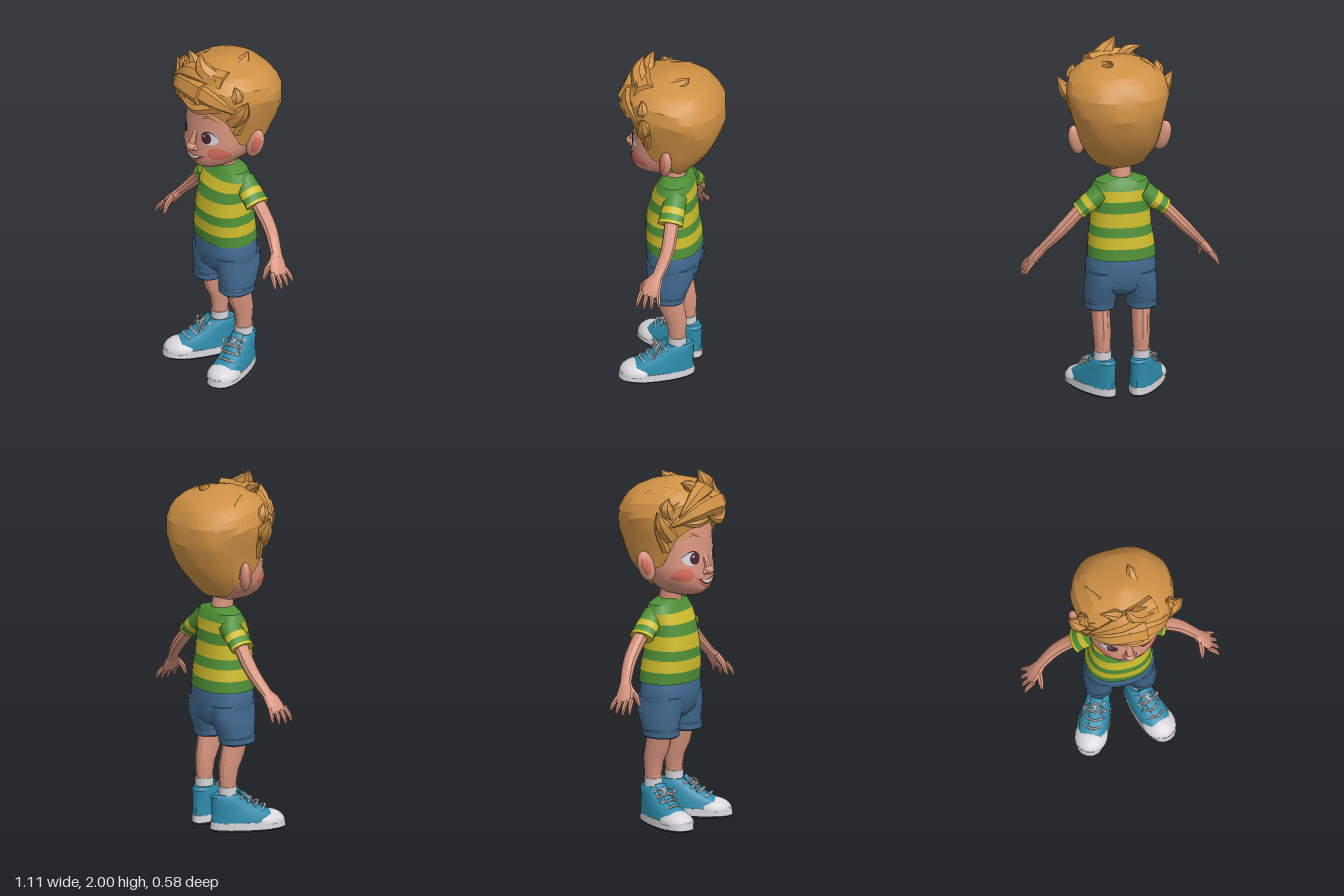
import * as THREE from 'three';
import { toCreasedNormals } from 'three/addons/utils/BufferGeometryUtils.js';

const mat = (name, color) => Object.assign(new THREE.MeshStandardMaterial({ color }), { name });
const SKIN = mat('skin', 0xd6937d), HAIR = mat('ginger hair', 0xcf9145), GREEN = mat('shirt green', 0x4f8f36),
  YELLOW = mat('shirt yellow', 0xcdbc2c), DENIM = mat('denim', 0x41698f), TEAL = mat('shoe teal', 0x2e8bab),
  WHITE = mat('off white', 0xd8d6d9), SOLE = mat('dark sole', 0x2c303a), BLUSH = mat('blush red', 0xd56c5c),
  DARK = mat('eye dark', 0x4b2630);

const N = 2.3; // superellipse exponent of every horizontal section
const pw = (v) => Math.sign(v) * Math.abs(v) ** (2 / N);
const lerp = THREE.MathUtils.lerp;

function add(parent, name, geo, material) {
  const m = new THREE.Mesh(geo, material);
  m.name = name;
  parent.add(m);
  return m;
}

// Joins rings of points (counter-clockwise about the direction of travel) into a surface.
function skin(rings, capStart = true, crease = 0.55) {
  const n = rings[0].length, pos = rings.flat().flatMap((p) => [p.x, p.y, p.z]), idx = [];
  for (let i = 0; i < rings.length - 1; i++) for (let j = 0; j < n; j++) {
    const k = (j + 1) % n, a = i * n + j, b = i * n + k, c = a + n, d = b + n;
    idx.push(a, b, d, a, d, c);
  }
  const cap = (ring, base, flip) => {
    const c = ring.reduce((s, p) => s.add(p), new THREE.Vector3()).divideScalar(n), ci = pos.length / 3;
    pos.push(c.x, c.y, c.z);
    for (let j = 0; j < n; j++) {
      const a = base + j, b = base + (j + 1) % n;
      idx.push(ci, flip ? b : a, flip ? a : b);
    }
  };
  if (capStart) cap(rings[0], 0, true);
  cap(rings.at(-1), (rings.length - 1) * n, false);
  const g = new THREE.BufferGeometry();
  g.setAttribute('position', new THREE.Float32BufferAttribute(pos, 3));
  g.setIndex(idx);
  return toCreasedNormals(g, crease);
}

// Section rows are [y, centre x, half width, front z, back z].
function rowAt(rows, y) {
  let i = 0;
  while (i < rows.length - 2 && y > rows[i + 1][0]) i++;
  const u = THREE.MathUtils.clamp((y - rows[i][0]) / (rows[i + 1][0] - rows[i][0]), 0, 1);
  return rows[i].map((v, k) => lerp(v, rows[i + 1][k], u));
}
function rowPoint([y, cx, rx, zf, zb], phi, taper = 0) {
  return new THREE.Vector3(cx + rx * pw(Math.sin(phi)) * (1 + taper * Math.cos(phi)), y,
    (zf + zb) / 2 + (zf - zb) / 2 * pw(Math.cos(phi)));
}
function loft(rows, sides = 20, taper = 0) {
  return skin(rows.map((r) => Array.from({ length: sides }, (_, j) => rowPoint(r, j / sides * Math.PI * 2, taper))));
}

// Tapered limb through stations [x, y, z, depth radius, other radius], mirrored by s.
function sweep(stations, s = 1, sides = 10) {
  const P = stations.map(([x, y, z]) => new THREE.Vector3(x * s, y, z)), ref = new THREE.Vector3(0, 0, 1);
  return skin(P.map((p, i) => {
    const d = P[Math.min(i + 1, P.length - 1)].clone().sub(P[Math.max(i - 1, 0)]).normalize();
    const u = ref.clone().addScaledVector(d, -ref.dot(d)).normalize(), v = d.clone().cross(u);
    const [, , , a, b = a] = stations[i];
    return Array.from({ length: sides }, (_, j) => {
      const t = j / sides * Math.PI * 2;
      return p.clone().addScaledVector(u, a * Math.cos(t)).addScaledVector(v, b * Math.sin(t));
    });
  }));
}
// Same, with the path rounded first.
function smoothSweep(st, s, sides, steps) {
  const c = new THREE.CatmullRomCurve3(st.map(([x, y, z]) => new THREE.Vector3(x, y, z)));
  return sweep(Array.from({ length: steps + 1 }, (_, k) => {
    const t = k / steps, f = t * (st.length - 1), i = Math.min(Math.floor(f), st.length - 2), p = c.getPoint(t);
    const r = (n) => lerp(st[i][n] ?? st[i][3], st[i + 1][n] ?? st[i + 1][3], f - i);
    return [p.x, p.y, p.z, r(3), r(4)];
  }), s, sides);
}

const HEAD = [[1.285, 0.01, 0.04, 0.14, 0], [1.3, 0.01, 0.08, 0.18, -0.05], [1.33, 0.01, 0.125, 0.213, -0.085],
  [1.37, 0.01, 0.165, 0.223, -0.125], [1.42, 0.01, 0.195, 0.222, -0.17], [1.48, 0.012, 0.206, 0.21, -0.2],
  [1.64, 0.015, 0.206, 0.203, -0.22], [1.72, 0.015, 0.2, 0.185, -0.2], [1.82, 0.015, 0.13, 0.12, -0.15]];

// Thin painted plate following the face, between two curves over u = -1..1.
function plate(cx, w, bottom, top, lift) {
  const g = new THREE.PlaneGeometry(2, 1, 16, 6), p = g.attributes.position;
  for (let i = 0; i < p.count; i++) {
    const u = p.getX(i), x = cx + u * w, y = lerp(bottom(u), top(u), p.getY(i) + 0.5);
    const [, hx, rx, zf, zb] = rowAt(HEAD, y), k = Math.min(1, Math.abs((x - hx) / rx));
    p.setXYZ(i, x, y, (zf + zb) / 2 + (zf - zb) / 2 * (1 - k ** N) ** (1 / N) + lift);
  }
  g.computeVertexNormals();
  return g;
}
function oval(cx, cy, w, h, lift) {
  const c = (u) => h * Math.sqrt(Math.max(0, 1 - u * u));
  return plate(cx, w, (u) => cy - c(u), (u) => cy + c(u), lift);
}
function ball(parent, name, material, [x, y, z], [a, b, c]) {
  const m = add(parent, name, new THREE.SphereGeometry(1, 14, 10), material);
  m.position.set(x, y, z);
  m.scale.set(a, b, c);
}

function buildHead() {
  const g = new THREE.Group();
  g.name = 'head';
  add(g, 'face', loft(HEAD, 40), SKIN);
  add(g, 'neck', sweep([[0, 1.2, -0.02, 0.065, 0.06], [0, 1.34, 0, 0.06, 0.055]], 1, 14), SKIN);
  ball(g, 'nose', SKIN, [0.01, 1.438, 0.227], [0.03, 0.026, 0.034]);
  add(g, 'noseBridge', sweep([[0.01, 1.53, 0.2, 0.01, 0.015], [0.01, 1.44, 0.23, 0.02, 0.025]]), SKIN);
  // smiling mouth
  add(g, 'lips', plate(0.01, 0.1, (u) => 1.34 + 0.065 * u * u, (u) => 1.388 + 0.02 * u * u, 0.004), BLUSH);
  add(g, 'mouthLine', plate(0.01, 0.082, (u) => 1.357 + 0.045 * u * u, (u) => 1.385 + 0.018 * u * u, 0.006), DARK);
  add(g, 'teeth', plate(0.01, 0.068, (u) => 1.365 + 0.034 * u * u, (u) => 1.383 + 0.017 * u * u, 0.008), WHITE);
  for (const s of [-1, 1]) {
    const X = (x) => 0.01 + s * x;
    ball(g, 'nostril', SKIN, [X(0.024), 1.428, 0.218], [0.016, 0.014, 0.018]);
    add(g, 'cheek', oval(X(0.145), 1.425, 0.042, 0.038, 0.003), BLUSH);
    add(g, 'eyeWhite', oval(X(0.108), 1.517, 0.048, 0.04, 0.004), WHITE);
    add(g, 'iris', oval(X(0.093), 1.515, 0.029, 0.034, 0.007), DARK);
    add(g, 'glint', oval(X(0.093) - 0.01, 1.528, 0.006, 0.007, 0.009), WHITE);
    add(g, 'upperLid', plate(X(0.108), 0.05, (u) => 1.553 - 0.03 * u * u, (u) => 1.56 - 0.034 * u * u, 0.008), DARK);
    add(g, 'eyebrow', plate(X(0.115), 0.05, (u) => 1.642 - 0.02 * u * u - 0.008 * u * s,
      (u) => 1.658 - 0.03 * u * u - 0.008 * u * s, 0.008), HAIR);
    const ear = new THREE.Group();
    ear.name = 'ear';
    ball(ear, 'earShell', SKIN, [0, 0, 0], [0.048, 0.09, 0.032]);
    ball(ear, 'earHollow', BLUSH, [s * 0.008, 0.006, 0.016], [0.028, 0.058, 0.022]);
    ear.position.set(X(0.24), 1.475, -0.025);
    ear.rotation.set(0, s * 0.6, -s * 0.32);
    g.add(ear);
  }
  return g;
}

function buildHair() {
  const g = new THREE.Group();
  g.name = 'hair';
  const rows = [[1.32, 0.01, 0.13, 0.12, -0.1], [1.38, 0.01, 0.177, 0.17, -0.155], [1.45, 0.012, 0.214, 0.2, -0.212],
    [1.55, 0.016, 0.236, 0.22, -0.27], [1.66, 0.02, 0.266, 0.222, -0.3], [1.75, 0.022, 0.286, 0.23, -0.294],
    [1.83, 0.024, 0.262, 0.235, -0.258], [1.89, 0.025, 0.19, 0.19, -0.19], [1.935, 0.025, 0.03, 0.03, -0.02]];
  // hairline height by angle from the front, in degrees
  const line = [[0, 1.7], [30, 1.69], [48, 1.64], [62, 1.55], [74, 1.48], [92, 1.45], [118, 1.345], [180, 1.325]];
  const sides = 44, rings = [];
  for (let i = -1; i <= 14; i++) {
    rings.push(Array.from({ length: sides }, (_, j) => {
      const phi = j / sides * Math.PI * 2, deg = 180 - Math.abs(180 - phi * 180 / Math.PI);
      const y = lerp(rowAt(line, deg)[1], 1.935, Math.sin(Math.max(i, 0) / 14 * Math.PI / 2));
      const p = rowPoint(rowAt(rows, y), phi), k = i < 0 ? 0.86 : 1 + 0.01 * Math.sin(7 * phi + 22 * y);
      return p.set(p.x * k, p.y, p.z * k);
    }));
  }
  add(g, 'hairCap', skin(rings, false, 0.3), HAIR);
  // each lock tapers from root through bend to a pointed tip
  const lock = (root, bend, tip, r) =>
    add(g, 'lock', smoothSweep([[...root, r], [...bend, r * 0.8], [...tip, 0.002]], 1, 7, 8), HAIR);
  // forelock rolls sweeping to both sides
  lock([0.1, 1.79, 0.2], [-0.09, 1.785, 0.205], [-0.25, 1.71, 0.13], 0.083);
  lock([0, 1.79, 0.2], [0.16, 1.78, 0.18], [0.29, 1.7, 0.09], 0.08);
  lock([0.16, 1.86, 0.11], [-0.04, 1.87, 0.19], [-0.22, 1.77, 0.18], 0.068);
  // fringe curls
  lock([0.19, 1.75, 0.18], [0.07, 1.715, 0.25], [-0.07, 1.76, 0.27], 0.042);
  lock([0, 1.76, 0.23], [-0.1, 1.725, 0.22], [-0.2, 1.73, 0.17], 0.04);
  // quiff and crown tufts
  lock([0.12, 1.86, 0.14], [0.04, 1.93, 0.18], [0, 2, 0.165], 0.055);
  lock([-0.03, 1.87, 0.15], [-0.07, 1.92, 0.15], [-0.14, 1.945, 0.14], 0.042);
  lock([0.1, 1.88, -0.02], [0.08, 1.91, -0.08], [0.07, 1.945, -0.115], 0.04);
  // tufts standing out on both sides
  for (const s of [-1, 1]) {
    const X = (x) => 0.015 + s * x;
    lock([X(0.2), 1.65, 0.1], [X(0.275), 1.73, 0.09], [X(0.322), 1.81, 0.09], 0.052);
    lock([X(0.19), 1.76, 0.1], [X(0.235), 1.82, 0.1], [X(0.23), 1.87, 0.11], 0.05);
    lock([X(0.205), 1.57, 0.08], [X(0.245), 1.64, 0.07], [X(0.285), 1.7, 0.05], 0.03);
    lock([X(0.13), 1.865, 0.04], [X(0.18), 1.85, -0.05], [X(0.2), 1.82, -0.14], 0.042);
  }
  return g;
}

function buildShirt() {
  const g = new THREE.Group();
  g.name = 'shirt';
  const rows = [[0.8, -0.004, 0.19, 0.138, -0.166], [0.865, -0.003, 0.185, 0.143, -0.16], [0.93, 0, 0.178, 0.143, -0.152],
    [0.985, 0, 0.17, 0.14, -0.143], [1.065, 0, 0.162, 0.128, -0.137], [1.13, 0, 0.163, 0.108, -0.132],
    [1.19, 0, 0.168, 0.08, -0.122], [1.235, 0, 0.145, 0.054, -0.105], [1.258, 0, 0.075, 0.045, -0.08]];
  for (let i = 0; i < 7; i++)
    add(g, 'shirtStripe', loft(rows.slice(i, i === 6 ? 9 : i + 2), 24), i % 2 ? YELLOW : GREEN);
  // short sleeves, striped along their length
  const cuts = [0, 0.45, 0.68, 0.9, 1];
  const at = (t) => [lerp(0.11, 0.24, t), lerp(1.172, 1.07, t), -0.05, lerp(0.062, 0.072, t), lerp(0.062, 0.046, t)];
  for (const s of [-1, 1]) for (let i = 0; i < 4; i++)
    add(g, 'sleeveStripe', sweep([at(cuts[i]), at(cuts[i + 1])], s, 14), i % 2 ? YELLOW : GREEN);
  return g;
}

function buildArm(s) {
  const g = new THREE.Group();
  g.name = s > 0 ? 'leftArm' : 'rightArm';
  add(g, 'arm', smoothSweep([[0.2, 1.11, -0.055, 0.043, 0.038], [0.34, 0.962, -0.06, 0.038, 0.035],
    [0.45, 0.84, -0.025, 0.032, 0.023]], s, 10, 8), SKIN);
  add(g, 'palm', sweep([[0.435, 0.855, -0.03, 0.033, 0.024], [0.46, 0.825, -0.015, 0.048, 0.025],
    [0.49, 0.785, -0.006, 0.054, 0.022], [0.508, 0.763, -0.003, 0.048, 0.014]], s), SKIN);
  [0.8, 0.95, 1, 0.9].forEach((len, i) => {
    const z = -0.047 + i * 0.03;
    add(g, 'finger', sweep([[0.492, 0.785, z, 0.015], [0.492 + 0.04 * len, 0.785 - 0.045 * len, z * 1.25, 0.013],
      [0.492 + 0.056 * len, 0.785 - 0.082 * len, z * 1.4, 0.007]], s, 7), SKIN);
  });
  add(g, 'thumb', sweep([[0.452, 0.835, 0.01, 0.018], [0.452, 0.79, 0.05, 0.017], [0.45, 0.74, 0.07, 0.009]], s, 7), SKIN);
  return g;
}

function buildShorts() {
  const g = new THREE.Group();
  g.name = 'shorts';
  add(g, 'seat', loft([[0.59, 0, 0.08, 0.07, -0.11], [0.63, 0, 0.17, 0.11, -0.145], [0.7, 0, 0.196, 0.13, -0.158],
    [0.76, 0, 0.194, 0.137, -0.158], [0.82, 0, 0.178, 0.125, -0.15]], 24), DENIM);
  for (const s of [-1, 1]) {
    add(g, 'shortLeg', loft([[0.505, s * 0.117, 0.082, 0.096, -0.096], [0.56, s * 0.113, 0.09, 0.1, -0.115],
      [0.65, s * 0.105, 0.094, 0.115, -0.15], [0.72, s * 0.1, 0.09, 0.12, -0.15]], 18), DENIM);
    add(g, 'cuff', loft([[0.495, s * 0.118, 0.08, 0.096, -0.094], [0.503, s * 0.118, 0.087, 0.103, -0.101],
      [0.535, s * 0.117, 0.089, 0.104, -0.106], [0.543, s * 0.116, 0.084, 0.098, -0.1]], 18), DENIM);
  }
  return g;
}

function buildLeg(s) {
  const g = new THREE.Group();
  g.name = s > 0 ? 'leftLeg' : 'rightLeg';
  add(g, 'shin', sweep([[0.108, 0.2, -0.055, 0.044, 0.043], [0.108, 0.28, -0.055, 0.05, 0.045], [0.109, 0.36, -0.05, 0.06, 0.051],
    [0.111, 0.44, -0.025, 0.072, 0.052], [0.114, 0.56, 0, 0.075, 0.058]], s, 12), SKIN);
  add(g, 'sock', sweep([[0.108, 0.16, -0.055, 0.05, 0.048], [0.108, 0.255, -0.055, 0.053, 0.049]], s, 14), WHITE);
  // shoe, built pointing forward and then turned outwards
  const shoe = new THREE.Group();
  shoe.name = 'shoe';
  add(shoe, 'outsole', loft([[0, 0, 0.078, 0.31, -0.09], [0.014, 0, 0.085, 0.325, -0.095]], 24, 0.2), SOLE);
  add(shoe, 'soleRim', loft([[0.014, 0, 0.087, 0.328, -0.097], [0.054, 0, 0.085, 0.322, -0.096]], 24, 0.2), WHITE);
  add(shoe, 'upper', loft([[0.05, 0, 0.082, 0.3, -0.092], [0.09, 0, 0.078, 0.27, -0.09], [0.12, 0, 0.07, 0.205, -0.09],
    [0.16, 0, 0.063, 0.125, -0.092], [0.195, 0, 0.058, 0.075, -0.094], [0.21, 0, 0.05, 0.06, -0.08]], 20, 0.14), TEAL);
  const cap = add(shoe, 'toeCap', new THREE.SphereGeometry(1, 18, 6, 0, Math.PI * 2, 0, Math.PI / 2), WHITE);
  cap.position.set(0, 0.04, 0.215);
  cap.scale.set(0.092, 0.068, 0.108);
  add(shoe, 'tongue', sweep([[0, 0.115, 0.19, 0.012, 0.03], [0, 0.17, 0.11, 0.014, 0.036], [0, 0.225, 0.06, 0.01, 0.034]], 1, 8), TEAL);
  for (let i = 0; i < 4; i++) {
    const y = 0.125 + i * 0.024, z = 0.203 - i * 0.04, end = (x) => [x, y - 0.012, z - 0.02, 0.006];
    add(shoe, 'lace', smoothSweep([end(-0.05), [0, y + 0.01, z + 0.008, 0.007], end(0.05)], 1, 6, 6), WHITE);
  }
  for (const k of [-1, 1]) {
    const loop = add(shoe, 'bowLoop', new THREE.TorusGeometry(0.022, 0.005, 6, 12), WHITE);
    loop.position.set(k * 0.032, 0.192, 0.108);
    loop.scale.set(1.4, 0.7, 1);
    loop.rotation.set(-0.8, 0, -k * 0.3);
    add(shoe, 'laceEnd', sweep([[0, 0.19, 0.11, 0.005], [0.04, 0.175, 0.13, 0.005], [0.06, 0.145, 0.14, 0.004]], k, 6), WHITE);
  }
  shoe.position.set(s * 0.105, 0, -0.055);
  shoe.rotation.y = s * 0.4;
  g.add(shoe);
  return g;
}

export function createModel() {
  const model = new THREE.Group();
  model.name = 'boy';
  model.add(buildHead(), buildHair(), buildShirt(), buildShorts());
  for (const s of [-1, 1]) model.add(buildArm(s), buildLeg(s));
  return model;
}
